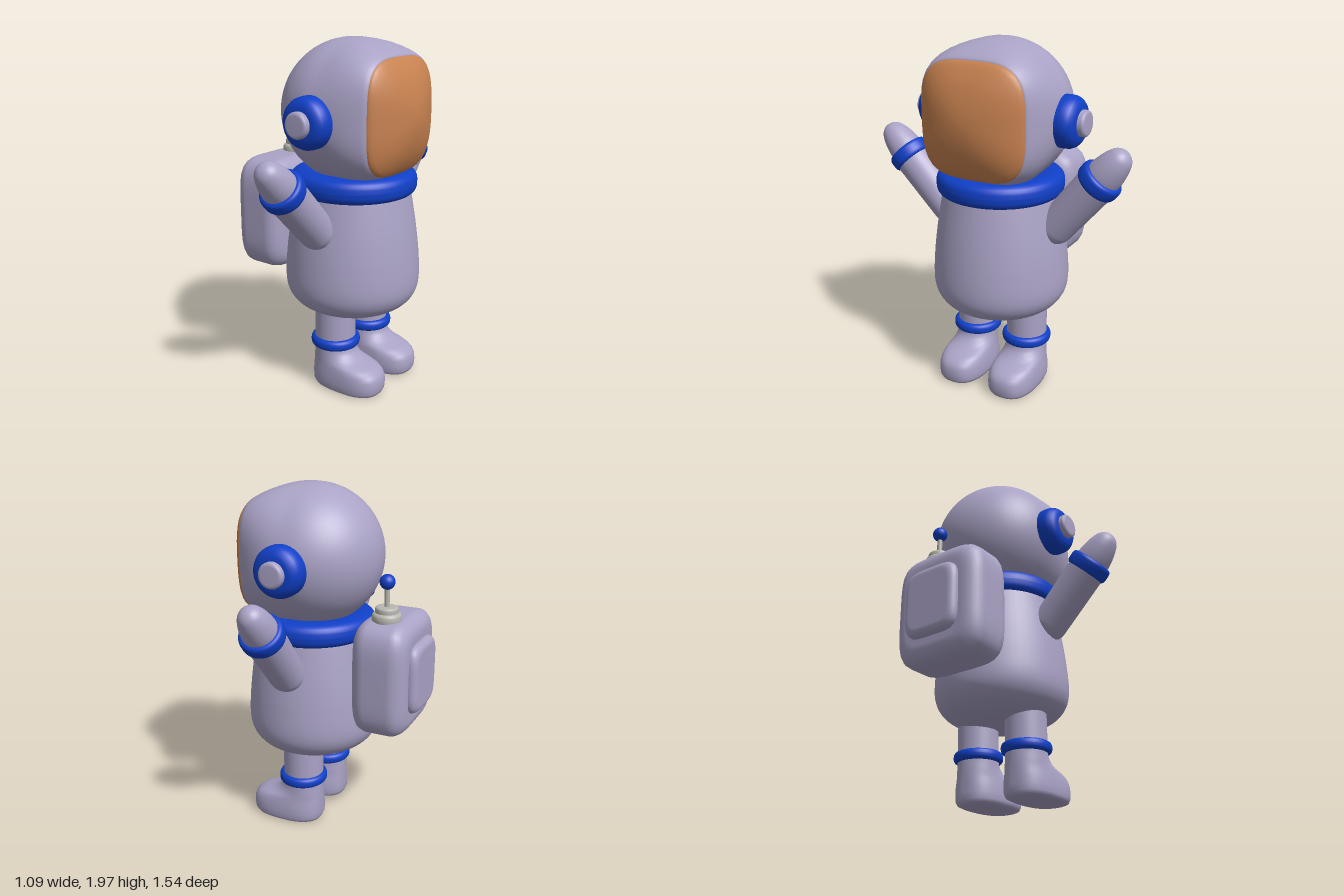
import * as THREE from 'three';

const SUIT = 0xaaa3c6, BLUE = 0x1040c8, AMBER = 0xc88250, METAL = 0xb8b8b0;
const CX = 0.135, CZ = -0.014; // axis of the body
const mats = {};
const mat = (c) => (mats[c] ??= new THREE.MeshStandardMaterial({ color: c }));

function add(parent, name, geo, color, x = 0, y = 0, z = 0) {
  const m = new THREE.Mesh(geo, mat(color));
  m.name = name;
  m.position.set(x, y, z);
  parent.add(m);
  return m;
}

// Skin over superellipse sections [at, halfU, halfV, centreU, centreV, exponent].
// Axis 'x' uses u = y, v = z; axis 'y' uses u = z, v = x.
function loft(axis, sections, seg = 56) {
  const pos = [], idx = [], N = sections.length;
  const put = (a, u, v) => (axis === 'x' ? pos.push(a, u, v) : pos.push(v, a, u));
  const sp = (t, n) => Math.sign(t) * Math.pow(Math.abs(t), 2 / n);
  for (const [a, hu, hv, cu, cv, n] of sections)
    for (let j = 0; j < seg; j++) {
      const t = (j / seg) * Math.PI * 2;
      // equal polar angles keep the rings evenly spaced
      const c = Math.cos(t), s = Math.sin(t);
      const r = Math.pow(Math.abs(c) ** n + Math.abs(s) ** n, -1 / n);
      put(a, cu + hu * c * r, cv + hv * s * r);
    }
  const first = sections[0], last = sections[N - 1];
  put(first[0], first[3], first[4]);
  put(last[0], last[3], last[4]);
  for (let j = 0; j < seg; j++) {
    const k = (j + 1) % seg;
    for (let i = 0; i < N - 1; i++) {
      const a = i * seg + j, b = i * seg + k;
      idx.push(a, b, b + seg, a, b + seg, a + seg);
    }
    idx.push(N * seg, k, j, N * seg + 1, (N - 1) * seg + j, (N - 1) * seg + k);
  }
  const g = new THREE.BufferGeometry();
  g.setAttribute('position', new THREE.Float32BufferAttribute(pos, 3));
  g.setIndex(idx);
  g.computeVertexNormals();
  return g;
}

// Soft box along x with rolled edges of radius r
function pillow(x0, x1, hy, hz, cy, cz, r, n) {
  const half = [[0, r + 0.06], [0, r + 0.01]];
  for (let i = 0; i <= 8; i++) {
    const a = (i / 8) * Math.PI / 2;
    half.push([r * (1 - Math.cos(a)), r * (1 - Math.sin(a))]);
  }
  const ring = (x, inset) => [x, hy - inset, hz - inset, cy, cz, n];
  return loft('x', [
    ...half.map(([d, s]) => ring(x0 + d, s)),
    ...half.reverse().map(([d, s]) => ring(x1 - d, s)),
  ]);
}

const lathe = (pts, seg = 48) =>
  new THREE.LatheGeometry(pts.map(([r, y]) => new THREE.Vector2(r, y)), seg);

const smoothLathe = (pts, div = 40, seg = 56) => new THREE.LatheGeometry(
  new THREE.SplineCurve(pts.map(([r, y]) => new THREE.Vector2(r, y))).getPoints(div)
    .map((p) => p.setX(Math.max(p.x, 0))), seg);

// Ring with a rounded, slightly square section
function band(rIn, rOut, h, n = 2.8) {
  const pts = [], sp = (t) => Math.sign(t) * Math.abs(t) ** (2 / n);
  for (let i = 0; i <= 28; i++) {
    const t = (i / 28) * Math.PI * 2;
    pts.push([(rIn + rOut) / 2 + (rOut - rIn) / 2 * sp(Math.cos(t)), h / 2 * sp(Math.sin(t))]);
  }
  return lathe(pts, 56);
}

function helmet(parent) {
  const g = new THREE.Group();
  g.name = 'helmet';
  parent.add(g);
  const cy = 1.605, R = 0.395, x0 = 0.13, rings = [];
  // round back, front stretched and squared towards the visor opening
  for (let i = 1; i <= 20; i++) {
    const a = (i / 20) * Math.PI / 2;
    rings.push([x0 - R * Math.cos(a), R * Math.sin(a), R * Math.sin(a), cy, CZ, 2]);
  }
  for (let i = 1; i <= 14; i++) {
    const t = i / 14, d = 0.29 * t, r = R * Math.sqrt(1 - (d / 0.48) ** 2);
    rings.push([x0 + d, r, r, cy, CZ, 2 + 1.4 * t ** 1.5]);
  }
  rings.push([0.428, 0.3, 0.3, cy, CZ, 3.4]);
  add(g, 'helmetShell', loft('x', rings), SUIT);

  const dome = [[0.405, 0.96], [0.412, 0.995], [0.422, 1], [0.436, 0.985], [0.45, 0.94], [0.466, 0.865],
    [0.484, 0.77], [0.502, 0.65], [0.518, 0.5], [0.53, 0.35], [0.538, 0.2], [0.541, 0.07]];
  add(g, 'visor', loft('x', dome.map(([x, s]) =>
    [x, 0.311 * s, 0.307 * s, 1.6, CZ, 2 + 1.5 * s])), AMBER);

  // earpieces
  for (const side of [1, -1]) {
    const ear = new THREE.Group();
    ear.name = side > 0 ? 'leftEarpiece' : 'rightEarpiece';
    ear.position.set(0.13, 1.59, CZ);
    ear.rotation.x = side * Math.PI / 2;
    g.add(ear);
    add(ear, 'earPad', lathe([[0.138, 0.3], [0.14, 0.4], [0.138, 0.425], [0.128, 0.448],
      [0.112, 0.464], [0.09, 0.473], [0.06, 0.476], [0, 0.476]]), BLUE);
    add(ear, 'earCap', lathe([[0.07, 0.44], [0.07, 0.496], [0.067, 0.504], [0.06, 0.509],
      [0.05, 0.511], [0, 0.511]]), SUIT);
  }
}

function arm(parent, name, shoulder, wrist) {
  const g = new THREE.Group();
  g.name = name;
  const a = new THREE.Vector3(...shoulder), w = new THREE.Vector3(...wrist);
  const L = a.distanceTo(w);
  g.position.copy(a);
  g.quaternion.setFromUnitVectors(new THREE.Vector3(0, 1, 0), w.sub(a).normalize());
  parent.add(g);
  const pts = [];
  for (let i = 0; i <= 10; i++) {
    const t = (i / 10) * Math.PI / 2;
    pts.push([0.102 * Math.sin(t), -0.102 * Math.cos(t)]);
  }
  add(g, 'sleeve', lathe([...pts, [0.108, L]]), SUIT);
  add(g, 'cuff', band(0.06, 0.122, 0.084, 3.2), BLUE, 0, L, 0);
  add(g, 'mitten', smoothLathe([[0.098, -0.01], [0.097, 0.05], [0.09, 0.1], [0.077, 0.15],
    [0.058, 0.19], [0.03, 0.213], [0, 0.22]]), SUIT, 0, L, 0);
}

function leg(parent, name, z) {
  const g = new THREE.Group();
  g.name = name;
  g.position.z = z;
  parent.add(g);
  add(g, 'trouserLeg', new THREE.CylinderGeometry(0.116, 0.116, 0.32, 48), SUIT, 0.132, 0.4, 0);
  add(g, 'ankleBand', band(0.08, 0.14, 0.062, 2.5), BLUE, 0.134, 0.3, 0);
  // boot sections: height, heel x, toe x, half width, squareness
  const rows = [[0.027, 0.08, 0.38, 0.08, 2.4], [0.028, 0.045, 0.415, 0.112, 2.5], [0.036, 0.024, 0.435, 0.127, 2.6],
    [0.055, 0.016, 0.444, 0.134, 2.7], [0.09, 0.015, 0.447, 0.136, 2.7], [0.125, 0.015, 0.445, 0.134, 2.7],
    [0.15, 0.015, 0.435, 0.131, 2.6], [0.17, 0.015, 0.412, 0.128, 2.5], [0.184, 0.015, 0.375, 0.125, 2.4],
    [0.196, 0.015, 0.328, 0.122, 2.3], [0.212, 0.015, 0.291, 0.119, 2.2], [0.235, 0.015, 0.266, 0.117, 2.1],
    [0.26, 0.016, 0.252, 0.116, 2], [0.3, 0.016, 0.249, 0.116, 2]];
  add(g, 'boot', loft('y', rows.map(([y, h, t, w, n]) =>
    [y, w, (t - h) / 2, 0, (t + h) / 2, n])), SUIT);
}

function backpack(parent) {
  const g = new THREE.Group();
  g.name = 'backpack';
  parent.add(g);
  add(g, 'packBody', pillow(-0.502, -0.19, 0.326, 0.285, 0.983, 0.005, 0.09, 5), SUIT);
  add(g, 'packPocket', pillow(-0.546, -0.44, 0.198, 0.174, 0.985, 0.003, 0.04, 5), SUIT);
  // antenna
  const a = new THREE.Group();
  a.name = 'antenna';
  a.position.set(-0.342, 0, -0.1);
  g.add(a);
  add(a, 'antennaBase', band(0, 0.081, 0.07, 3), METAL, 0, 1.316, 0);
  add(a, 'antennaCollar', band(0, 0.064, 0.05, 4), METAL, 0, 1.356, 0);
  add(a, 'antennaRod', new THREE.CylinderGeometry(0.014, 0.014, 0.15, 20), METAL, 0, 1.44, 0);
  add(a, 'antennaBall', new THREE.SphereGeometry(0.042, 28, 20), BLUE, 0, 1.514, 0);
}

export function createModel() {
  const model = new THREE.Group();
  model.name = 'astronaut';
  helmet(model);
  add(model, 'collar', band(0.19, 0.355, 0.136, 2.8), BLUE, CX + 0.003, 1.217, CZ);
  add(model, 'torso', smoothLathe([[0, 0.45], [0.12, 0.453], [0.23, 0.47], [0.315, 0.51], [0.365, 0.57],
    [0.384, 0.65], [0.379, 0.78], [0.362, 0.93], [0.338, 1.08], [0.315, 1.2], [0.29, 1.24]], 60), SUIT, CX, 0, CZ);
  arm(model, 'leftArm', [0.135, 1.0, 0.33], [0.135, 1.277, 0.6]);
  arm(model, 'rightArm', [0.135, 1.01, -0.36], [0.135, 1.302, -0.6]);
  leg(model, 'leftLeg', 0.15);
  leg(model, 'rightLeg', -0.18);
  backpack(model);
  return model;
}
